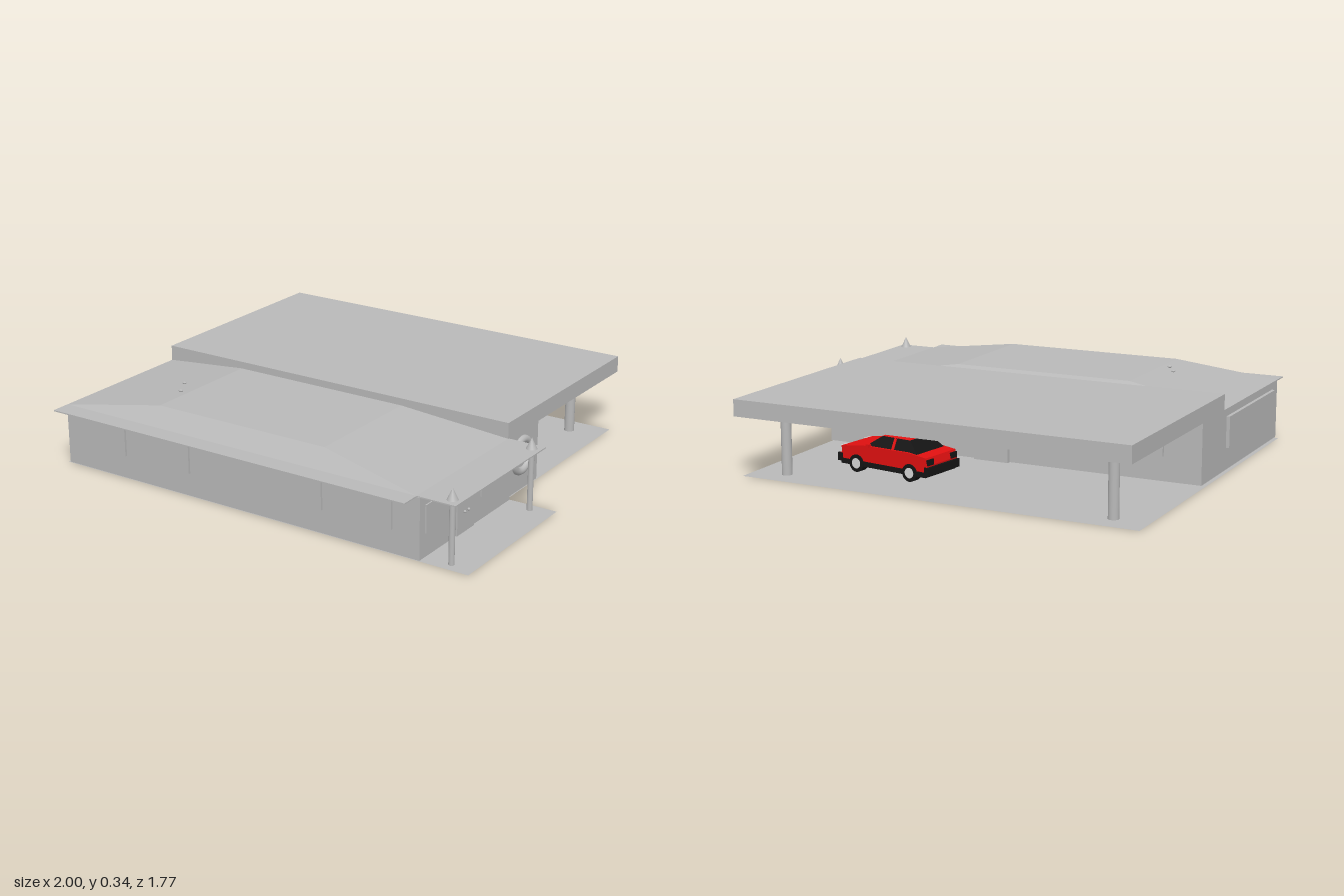
import * as THREE from 'three';

const mat = (name, color, side = THREE.FrontSide) => {
  const m = new THREE.MeshStandardMaterial({ color, side });
  m.name = name;
  return m;
};

export function createModel() {
  const house = new THREE.Group();
  house.name = 'house';
  const grey = mat('plaster grey', 0xb8b8b8);
  const slab = mat('slab grey', 0xb8b8b8, THREE.DoubleSide);
  const red = mat('car red', 0xe01010);
  const black = mat('car black', 0x141414);
  const pale = mat('lamp and hub grey', 0xd8d8d8);

  const add = (name, geo, m, x = 0, y = 0, z = 0, parent = house) => {
    const mesh = new THREE.Mesh(geo, m);
    mesh.name = name;
    mesh.position.set(x, y, z);
    parent.add(mesh);
    return mesh;
  };
  // Box given by its limits on each axis
  const box = (name, m, x0, x1, y0, y1, z0, z1, parent = house) =>
    add(name, new THREE.BoxGeometry(x1 - x0, y1 - y0, z1 - z0), m,
      (x0 + x1) / 2, (y0 + y1) / 2, (z0 + z1) / 2, parent);
  // Box whose top is narrowed to the limits [x0, x1, z0, z1]
  const frustum = (name, m, b, t, y0, y1, parent = house) => {
    const g = new THREE.BoxGeometry(1, 1, 1).toNonIndexed();
    const p = g.attributes.position;
    for (let i = 0; i < p.count; i++) {
      const top = p.getY(i) > 0, r = top ? t : b;
      p.setXYZ(i, p.getX(i) < 0 ? r[0] : r[1], top ? y1 : y0, p.getZ(i) < 0 ? r[2] : r[3]);
    }
    g.computeVertexNormals();
    return add(name, g, m, 0, 0, 0, parent);
  };

  // L-shaped floor slab
  const outline = [[-1, -0.8], [1, -0.8], [1, -0.1], [0.77, -0.1], [0.77, 0.84], [-1, 0.84]];
  const floor = new THREE.ShapeGeometry(new THREE.Shape(outline.map(p => new THREE.Vector2(...p))));
  floor.rotateX(-Math.PI / 2);
  add('floorSlab', floor, slab);

  // Walls
  box('frontWalls', grey, -0.985, 0.787, 0.004, 0.264, 0.11, 0.803);
  box('rearWalls', grey, -0.985, 0.77, 0.004, 0.264, -0.15, 0.11);

  // Roofs
  box('carportRoof', grey, -0.985, 0.77, 0.263, 0.335, -0.89, 0.105);
  box('eavePlate', grey, -0.985, 0.77, 0.262, 0.267, 0.105, 0.885);
  box('porchRoof', grey, 0.77, 0.94, 0.262, 0.267, 0.1, 0.8);
  frustum('hipRoof', grey, [-0.985, 0.77, 0.105, 0.8], [-0.53, 0.3, 0.175, 0.73], 0.267, 0.335);
  for (const [x, z] of [[-0.62, 0.46], [-0.57, 0.545]]) {
    const vent = add('roofVent', new THREE.SphereGeometry(0.008, 10, 6), grey, x, 0.335, z);
    vent.scale.set(1.2, 0.7, 0.5);
    vent.rotation.y = 0.5;
  }

  // Windows
  for (const [a, b] of [[-0.92, -0.66], [-0.575, -0.32], [0.09, 0.34], [0.415, 0.665]])
    box('frontWindow', grey, a, b, 0.105, 0.225, 0.8, 0.813);
  for (const [a, b] of [[0.59, 0.765], [0.17, 0.35]])
    box('sideWindow', grey, 0.78, 0.793, 0.105, 0.222, a, b);
  box('longWindow', grey, -1, -0.98, 0.1, 0.235, 0.135, 0.73);
  for (const [a, b] of [[-0.82, -0.52], [0.4, 0.66]])
    box('rearWindow', grey, a, b, 0.11, 0.23, -0.162, -0.145);

  // Doors with pairs of knobs
  box('porchDoor', grey, 0.78, 0.793, 0.004, 0.205, 0.405, 0.535);
  box('rearDoor', grey, -0.12, 0.04, 0.004, 0.205, -0.17, -0.145);
  const knob = new THREE.SphereGeometry(0.006, 12, 8);
  for (const s of [-1, 1]) {
    add('porchDoorKnob', knob, grey, 0.797, 0.093, 0.47 + s * 0.015);
    add('rearDoorKnob', knob, grey, -0.04 + s * 0.015, 0.1, -0.174);
  }

  // Round window ring
  const ring = add('roundWindowRing', new THREE.TorusGeometry(0.069, 0.017, 16, 40), grey, 0.77, 0.157, -0.012);
  ring.rotation.y = Math.PI / 2;

  // Porch posts with pointed caps, carport posts
  for (const z of [0.145, 0.755]) {
    add('porchPost', new THREE.CylinderGeometry(0.012, 0.012, 0.265, 20), grey, 0.9, 0.1325, z);
    add('postCap', new THREE.ConeGeometry(0.024, 0.05, 20), grey, 0.9, 0.29, z);
  }
  for (const x of [0.62, -0.85])
    add('carportPost', new THREE.CylinderGeometry(0.022, 0.022, 0.262, 24), grey, x, 0.131, -0.735);

  // Car, nose toward +x
  const car = new THREE.Group();
  car.name = 'car';
  car.position.set(0.225, 0, -0.498);
  car.rotation.y = -0.15;
  house.add(car);
  const profile = [[-0.225, 0.05], [0.225, 0.05], [0.23, 0.08], [0.222, 0.105],
    [0.1, 0.12], [-0.13, 0.122], [-0.222, 0.112], [-0.23, 0.08]];
  const body = new THREE.ExtrudeGeometry(new THREE.Shape(profile.map(p => new THREE.Vector2(...p))),
    { depth: 0.2, bevelEnabled: false });
  body.translate(0, 0, -0.1);
  add('carBody', body, red, 0, 0, 0, car);
  box('carSill', black, -0.222, 0.222, 0.03, 0.052, -0.102, 0.102, car);
  for (const s of [-1, 1])
    box('bumper', black, s * 0.228 - 0.012, s * 0.228 + 0.012, 0.04, 0.074, -0.105, 0.105, car);
  frustum('cabinGlass', black, [-0.17, 0.1, -0.092, 0.092], [-0.115, 0.025, -0.066, 0.066], 0.117, 0.166, car);
  frustum('cabinRoof', red, [-0.117, 0.027, -0.068, 0.068], [-0.1, 0.01, -0.058, 0.058], 0.166, 0.175, car);
  const wheel = new THREE.CylinderGeometry(0.037, 0.037, 0.035, 24).rotateX(Math.PI / 2);
  const hub = new THREE.CylinderGeometry(0.022, 0.022, 0.038, 20).rotateX(Math.PI / 2);
  for (const s of [-1, 1]) {
    box('headlight', pale, 0.22, 0.232, 0.077, 0.104, s * 0.079 - 0.021, s * 0.079 + 0.021, car);
    box('tailLight', black, -0.231, -0.22, 0.08, 0.104, s * 0.079 - 0.021, s * 0.079 + 0.021, car);
    box('mirror', red, 0.07, 0.085, 0.117, 0.13, s * 0.1 - 0.01, s * 0.1 + 0.01, car);
    // Red pillar between the side windows
    const pillar = box('doorPillar', red, -0.05, -0.038, 0.117, 0.168, -0.002, 0.002, car);
    pillar.position.z = s * 0.0805;
    pillar.rotation.x = -s * 0.488;
    for (const x of [-0.14, 0.14]) {
      add('wheel', wheel, black, x, 0.04, s * 0.088, car);
      add('wheelHub', hub, pale, x, 0.04, s * 0.088, car);
    }
  }
  return house;
}
